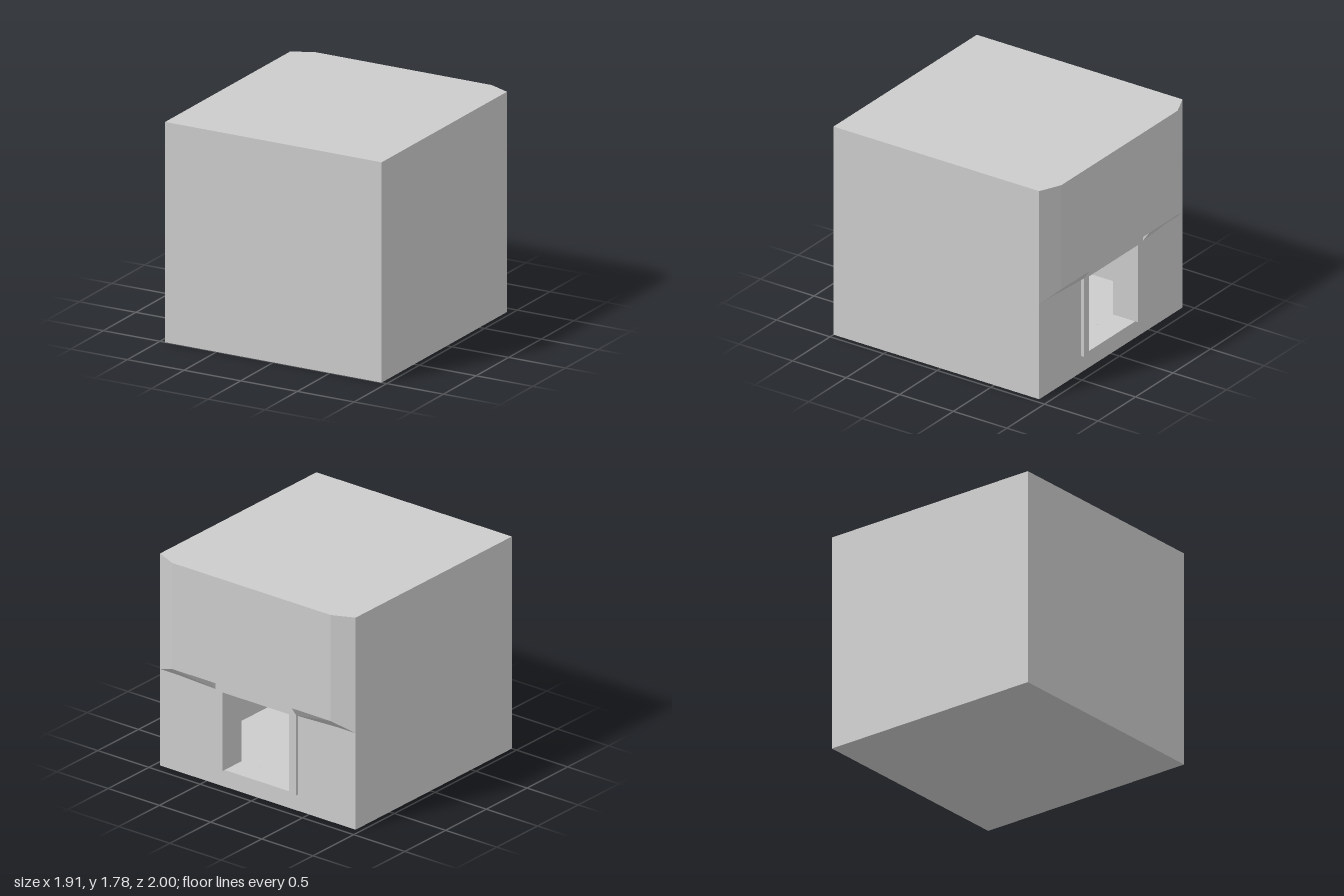
import * as THREE from 'three';

const W = 0.955, H = 1.78, F = 1, B = -0.92; // half width, height, front and back wall
const C = 0.775, OUT = -1, LIP = 0.89, LOW = 0.81; // overhanging upper storey
const DX = 0.325, FX = 0.395, SILL = 0.14, HEAD = 0.8, FZ = -0.945; // doorway and its frame
const RX = 0.79, RT = 1.6, RB = -0.71, RF = 0.8; // room inside

const material = new THREE.MeshStandardMaterial({ color: 0xcccccc, flatShading: true, side: THREE.DoubleSide });

// Flat polygons (corners counter-clockwise from outside), fanned into triangles
function faces(name, polygons) {
  const pos = [];
  for (const p of polygons) {
    for (let i = 1; i < p.length - 1; i++) pos.push(...p[0], ...p[i], ...p[i + 1]);
  }
  const g = new THREE.BufferGeometry();
  g.setAttribute('position', new THREE.Float32BufferAttribute(pos, 3));
  g.computeVertexNormals();
  const mesh = new THREE.Mesh(g, material);
  mesh.name = name;
  return mesh;
}

// Adds the copy across x = 0, with the winding reversed
function mirrored(polygons) {
  return polygons.concat(polygons.map(p => p.map(([x, y, z]) => [-x, y, z]).reverse()));
}

// Wall facing -z with a doorway cut in it
function doorWall(name, halfWidth, bottom, top, z, facing) {
  const s = new THREE.Shape([[-halfWidth, bottom], [halfWidth, bottom], [halfWidth, top], [-halfWidth, top]]
    .map(([x, y]) => new THREE.Vector2(x, y)));
  s.holes.push(new THREE.Path([[-DX, SILL + 0.0001], [-DX, HEAD], [DX, HEAD], [DX, SILL + 0.0001]]
    .map(([x, y]) => new THREE.Vector2(x, y))));
  const mesh = new THREE.Mesh(new THREE.ShapeGeometry(s), material);
  if (facing < 0) mesh.rotation.y = Math.PI;
  mesh.position.z = z;
  mesh.name = name;
  return mesh;
}

export function createModel() {
  const model = new THREE.Group();
  model.name = 'building';

  // Plain outer shell
  model.add(faces('sideWalls', mirrored([[[W, 0, F], [W, 0, B], [W, H, B], [W, H, F]]])));
  model.add(faces('frontWall', [[[-W, 0, F], [W, 0, F], [W, H, F], [-W, H, F]]]));
  model.add(faces('base', [[[-W, 0, B], [W, 0, B], [W, 0, F], [-W, 0, F]]]));
  model.add(faces('roof', [[[-W, H, F], [W, H, F], [W, H, B], [C, H, OUT], [-C, H, OUT], [-W, H, B]]]));
  model.add(doorWall('lowerBackWall', W, 0, LIP, B, -1));

  // Upper storey: back panel and angled corners
  model.add(faces('upperBackWall', [[[C, LIP, OUT], [-C, LIP, OUT], [-C, H, OUT], [C, H, OUT]]]));
  model.add(faces('upperCorners', mirrored([[[W, LIP, B], [C, LIP, OUT], [C, H, OUT], [W, H, B]]])));

  // Sloping underside, stopping at the door frame
  model.add(faces('overhangSlopes', mirrored([
    [[W, LIP, B], [W, LOW, B], [C, LIP, OUT]],
    [[W, LOW, B], [C, LOW, B], [C, LIP, OUT]],
    [[C, LIP, OUT], [C, LOW, B], [FX, LOW, FZ]],
    [[C, LIP, OUT], [FX, LOW, FZ], [FX, LIP, OUT]],
    [[FX, LIP, OUT], [FX, LOW, FZ], [FX, LIP, FZ]],
  ])));
  model.add(faces('overhangSoffit', [[[FX, LIP, OUT], [FX, LIP, FZ], [-FX, LIP, FZ], [-FX, LIP, OUT]]]));

  // Raised door frame
  const frame = new THREE.Group();
  frame.name = 'doorFrame';
  const bar = (name, w, y0, y1, x) => {
    const m = new THREE.Mesh(new THREE.BoxGeometry(w, y1 - y0, B - FZ), material);
    m.position.set(x, (y0 + y1) / 2, (B + FZ) / 2);
    m.name = name;
    frame.add(m);
  };
  for (const s of [-1, 1]) bar('doorPost', FX - DX, SILL, LIP, s * (FX + DX) / 2);
  bar('lintel', DX * 2, HEAD, LIP, 0);
  model.add(frame);

  // Passage through the thickness of the wall
  model.add(faces('doorPassage', [
    ...mirrored([[[DX, SILL, RB], [DX, SILL, B], [DX, HEAD, B], [DX, HEAD, RB]].reverse()]),
    [[-DX, SILL, RB], [DX, SILL, RB], [DX, SILL, B], [-DX, SILL, B]],
    [[-DX, HEAD, B], [DX, HEAD, B], [DX, HEAD, RB], [-DX, HEAD, RB]],
  ]));

  // Room behind the door
  model.add(doorWall('roomDoorWall', RX, SILL, RT, RB, 1));
  model.add(faces('roomInterior', [
    ...mirrored([[[RX, SILL, RB], [RX, SILL, RF], [RX, RT, RF], [RX, RT, RB]]]),
    [[-RX, SILL, RF], [RX, SILL, RF], [RX, SILL, RB], [-RX, SILL, RB]],
    [[-RX, RT, RB], [RX, RT, RB], [RX, RT, RF], [-RX, RT, RF]],
    [[RX, SILL, RF], [-RX, SILL, RF], [-RX, RT, RF], [RX, RT, RF]],
  ]));
  return model;
}
